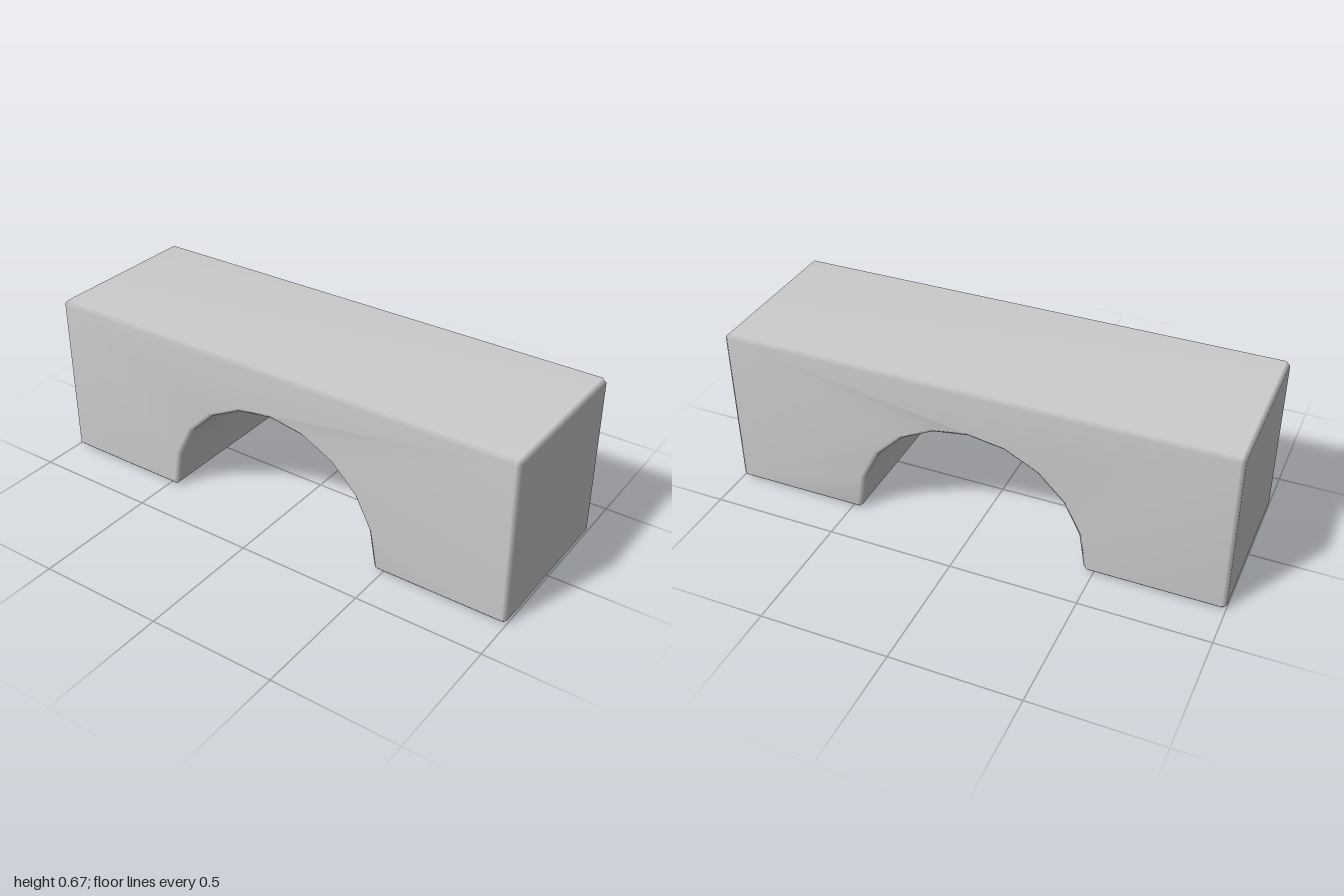
import * as THREE from 'three';
import { mergeVertices } from 'three/addons/utils/BufferGeometryUtils.js';

const H = 0.667;   // height
const D = 0.333;   // half depth
const B = 0.016;   // bevel width
const R = 0.46;    // arch radius
const ARCH_SEGMENTS = 10;

// Matching outlines, counter-clockwise: the full silhouette and the inset cap.
function outlines() {
  const outer = [], cap = [];
  const add = (ox, oy, cx, cy) => {
    outer.push(new THREE.Vector2(ox, oy));
    cap.push(new THREE.Vector2(cx, cy));
  };
  // left foot
  add(-1 + B, 0, -1 + B, B);
  add(-R - B, 0, -R - B, B);
  // arch
  for (let i = 0; i <= ARCH_SEGMENTS; i++) {
    const a = Math.PI * (1 - i / ARCH_SEGMENTS);
    const c = Math.cos(a), s = Math.sin(a);
    add(R * c, B + R * s, (R + B) * c, B + (R + B) * s);
  }
  // right foot, then the outer corners
  add(R + B, 0, R + B, B);
  add(1 - B, 0, 1 - B, B);
  add(1, B, 1 - B, B);
  add(1, H - B, 1 - B, H - B);
  add(1 - B, H, 1 - B, H - B);
  add(-1 + B, H, -1 + B, H - B);
  add(-1, H - B, -1 + B, H - B);
  add(-1, B, -1 + B, B);
  return { outer, cap };
}

function archGeometry() {
  const { outer, cap } = outlines();
  const positions = [];
  const tri = (...pts) => {
    // corners share one cap point, so drop the empty triangles there
    const [a, b, c] = pts;
    const eps = 1e-6;
    if (a.distanceTo(b) < eps || b.distanceTo(c) < eps || c.distanceTo(a) < eps) return;
    pts.forEach(p => positions.push(p.x, p.y, p.z));
  };
  const at = (p, z) => new THREE.Vector3(p.x, p.y, z);

  // walls and bevels, from back to front
  const rings = [[cap, -D], [outer, -D + B], [outer, D - B], [cap, D]]
    .map(([loop, z]) => loop.map(p => at(p, z)));
  const n = outer.length;
  for (let k = 0; k < rings.length - 1; k++) {
    for (let i = 0; i < n; i++) {
      const j = (i + 1) % n;
      const a = rings[k][i], b = rings[k][j], c = rings[k + 1][j], d = rings[k + 1][i];
      tri(a, b, c);
      tri(a, c, d);
    }
  }

  // front and back caps
  const face = cap.filter((p, i) => p.distanceTo(cap[(i + 1) % n]) > 1e-6);
  for (const [a, b, c] of THREE.ShapeUtils.triangulateShape(face, [])) {
    tri(at(face[a], D), at(face[b], D), at(face[c], D));
    tri(at(face[c], -D), at(face[b], -D), at(face[a], -D));
  }

  // shared vertices give soft bevels between the flat sides
  const raw = new THREE.BufferGeometry();
  raw.setAttribute('position', new THREE.Float32BufferAttribute(positions, 3));
  const geometry = mergeVertices(raw, 1e-5);
  geometry.computeVertexNormals();
  return geometry;
}

export function createModel() {
  const group = new THREE.Group();
  group.name = 'archBlock';
  const block = new THREE.Mesh(
    archGeometry(),
    new THREE.MeshStandardMaterial({ color: 0xcccccc })
  );
  block.name = 'bridgeBlock';
  group.add(block);
  return group;
}
